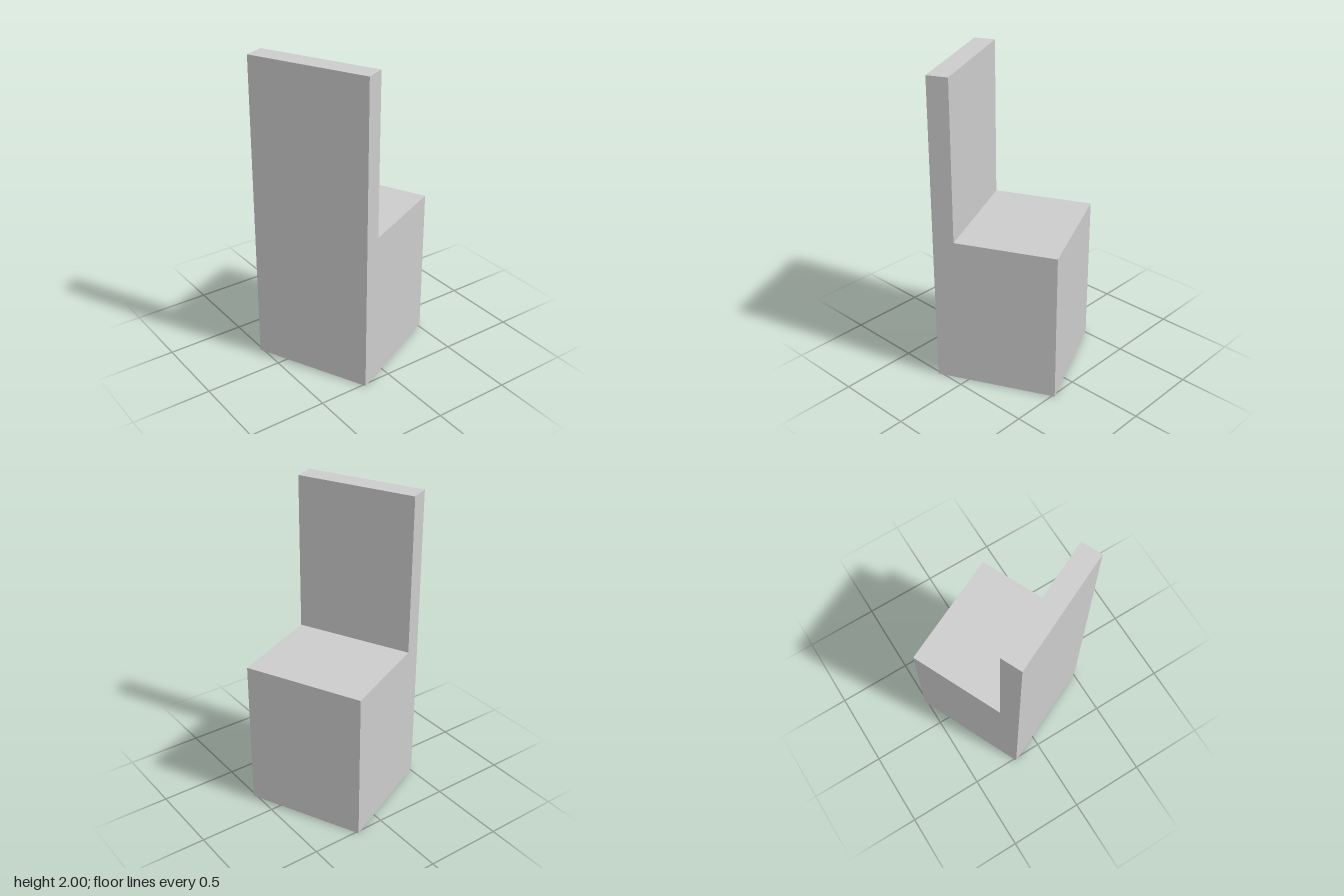
import * as THREE from 'three';

const SIDE = 0.778;       // square footprint
const SEAT_HEIGHT = 0.975;
const BACK_HEIGHT = 2;
const BACK_THICKNESS = 0.134;
const TURN = 0.434;       // rotation of the chair about the vertical axis

export function createModel() {
  const model = new THREE.Group();
  model.name = 'blockChair';

  // L-shaped side profile: solid seat block with a tall thin back
  const h = SIDE / 2;
  const profile = new THREE.Shape([
    [-h, 0], [h, 0], [h, SEAT_HEIGHT],
    [-h + BACK_THICKNESS, SEAT_HEIGHT],
    [-h + BACK_THICKNESS, BACK_HEIGHT], [-h, BACK_HEIGHT],
  ].map(([x, y]) => new THREE.Vector2(x, y)));

  const geometry = new THREE.ExtrudeGeometry(profile, { depth: SIDE, bevelEnabled: false });
  geometry.translate(0, 0, -h);

  const chair = new THREE.Mesh(
    geometry,
    new THREE.MeshStandardMaterial({ color: 0xcccccc, flatShading: true }),
  );
  chair.name = 'seatAndBack';
  chair.rotation.y = TURN;
  model.add(chair);
  return model;
}
